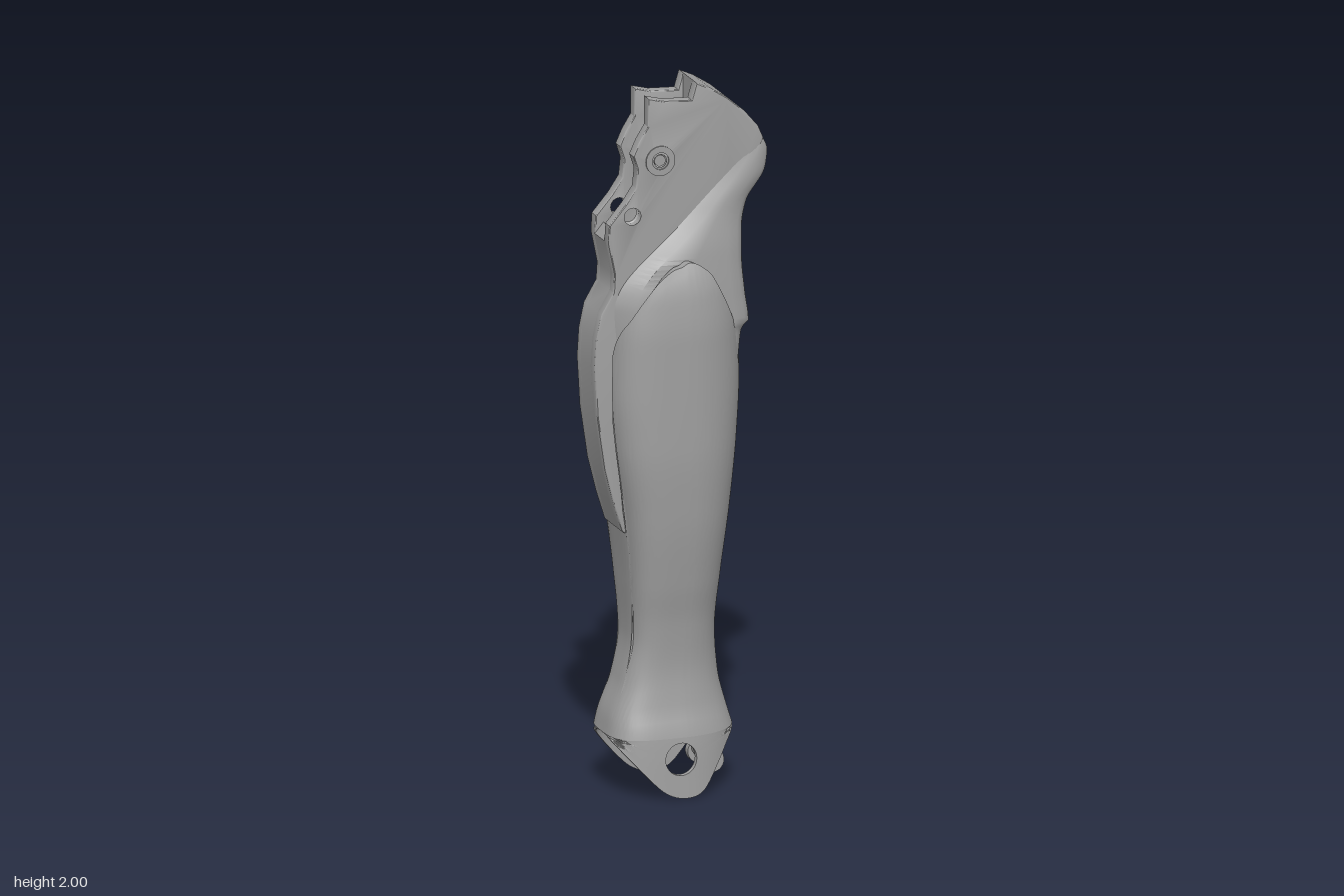
import * as THREE from 'three';
import { toCreasedNormals } from 'three/addons/utils/BufferGeometryUtils.js';

const grey = new THREE.MeshStandardMaterial({ color: 0xa0a0a0, side: THREE.DoubleSide });
grey.name = 'satin grey';
const TAU = Math.PI * 2;

// Monotone cubic through a table of [position, value] pairs
function table(pts) {
  const n = pts.length;
  const d = pts.slice(1).map((p, i) => (p[1] - pts[i][1]) / (p[0] - pts[i][0]));
  const m = pts.map((_, i) => {
    if (i === 0 || i === n - 1) return d[Math.min(i, n - 2)];
    const a = d[i - 1], b = d[i];
    return a * b <= 0 ? 0 : (2 * a * b) / (a + b);
  });
  return (x) => {
    if (x <= pts[0][0]) return pts[0][1];
    if (x >= pts[n - 1][0]) return pts[n - 1][1];
    let i = 0;
    while (x > pts[i + 1][0]) i++;
    const h = pts[i + 1][0] - pts[i][0], t = (x - pts[i][0]) / h, s = 1 - t;
    return pts[i][1] * s * s * (1 + 2 * t) + pts[i + 1][1] * t * t * (3 - 2 * t)
      + h * m[i] * t * s * s - h * m[i + 1] * t * t * s;
  };
}

// Grid surface from a rule (column, row) -> [x, y, z]
function grid(cols, rows, rule, crease = 0.6) {
  const pos = [], idx = [];
  for (let j = 0; j <= rows; j++) for (let i = 0; i <= cols; i++) pos.push(...rule(i, j));
  for (let j = 0; j < rows; j++) for (let i = 0; i < cols; i++) {
    const a = j * (cols + 1) + i, b = a + cols + 1;
    idx.push(a, b, a + 1, b, b + 1, a + 1);
  }
  const g = new THREE.BufferGeometry();
  g.setAttribute('position', new THREE.Float32BufferAttribute(pos, 3));
  g.setIndex(idx);
  return toCreasedNormals(g, crease);
}

// Outer shell measurements by height
const left = table([[0.17, -0.21], [0.22, -0.2], [0.32, -0.165], [0.45, -0.143], [0.6, -0.152],
  [0.78, -0.172], [1, -0.208], [1.15, -0.22], [1.3, -0.217], [1.5, -0.195]]);
const right = table([[0.17, 0.16], [0.22, 0.145], [0.32, 0.12], [0.45, 0.11], [0.6, 0.123],
  [0.8, 0.148], [1, 0.168], [1.15, 0.176], [1.3, 0.172], [1.5, 0.15]]);
const halfWidth = table([[0, 0.15], [0.17, 0.14], [0.25, 0.12], [0.36, 0.108], [0.48, 0.117],
  [0.6, 0.138], [0.8, 0.165], [1, 0.177], [1.3, 0.176], [1.42, 0.165], [1.48, 0.147], [1.52, 0.125]]);
const power = (u) => (u > 0 ? 2.2 : 3.5);

function shellPoint(angle, y, k = 1) {
  const c = Math.cos(angle), s = Math.sin(angle), e = 2 / power(c);
  const cx = (left(y) + right(y)) / 2, rx = (right(y) - left(y)) / 2;
  return [cx + k * rx * Math.sign(c) * Math.abs(c) ** e, y,
    k * halfWidth(y) * Math.sign(s) * Math.abs(s) ** e];
}
function shellDepth(x, y) {
  const cx = (left(y) + right(y)) / 2, rx = (right(y) - left(y)) / 2;
  const u = THREE.MathUtils.clamp((x - cx) / rx, -1, 1), n = power(u);
  return halfWidth(y) * (1 - Math.abs(u) ** n) ** (1 / n);
}

// Upper rim: low at the knee, high on the sides, open slot down the calf
const rim = table([[0, 1.19], [18, 1.2], [27, 1.26], [40, 1.34], [55, 1.425], [66, 1.48], [84, 1.51],
  [98, 1.48], [115, 1.43], [133, 1.37], [150, 1.32], [160, 1.26], [164, 0.86], [170, 0.78], [180, 0.75]]);

const toVectors = (points) => points.map(([x, y]) => new THREE.Vector2(x, y));
const circle = (x, y, r) => new THREE.Path().absarc(x, y, r, 0, TAU, true);
function plate(points, holes = []) {
  const s = new THREE.Shape(toVectors(points));
  s.holes.push(...holes);
  return s;
}
function ring(x, y, outer, inner) {
  const s = new THREE.Shape().absarc(x, y, outer, 0, TAU);
  s.holes.push(circle(x, y, inner));
  return s;
}
function slab(s, z0, z1, bevel = 0) {
  const g = new THREE.ExtrudeGeometry(s, { depth: z1 - z0 - 2 * bevel, bevelEnabled: bevel > 0,
    bevelSize: bevel, bevelOffset: -bevel, bevelThickness: bevel, bevelSegments: 3, curveSegments: 24 });
  g.translate(0, 0, z0 + bevel);
  return toCreasedNormals(g, 0.5);
}

export function createModel() {
  const model = new THREE.Group();
  const add = (name, geometry) => {
    const mesh = new THREE.Mesh(geometry, grey);
    mesh.name = name;
    model.add(mesh);
    return mesh;
  };

  // Shin shell, with its rim turned inward
  add('shinShell', grid(180, 61, (i, j) => {
    const a = (i / 180) * TAU, deg = Math.min(i, 180 - i) * 2;
    const y = 0.17 + (rim(deg) - 0.17) * Math.min(j / 60, 1);
    return shellPoint(a, y, j > 60 ? 0.82 : 1);
  }));
  add('ankleCeiling', grid(60, 1, (i, j) => shellPoint((i / 60) * TAU, 0.24, j ? 0 : 0.99)));

  // Ankle lobes: curved plates running from a pivot hole to the scalloped edge
  const scallop = new THREE.SplineCurve(toVectors([[-0.21, 0.17], [-0.195, 0.145], [-0.13, 0.07],
    [-0.075, 0.018], [-0.02, 0], [0.035, 0.015], [0.085, 0.085], [0.12, 0.135], [0.16, 0.17]])).getPoints(80);
  const edge = new THREE.Path([...scallop, scallop[0]]).getSpacedPoints(200);
  const hole = new THREE.Vector2(-0.03, 0.11);
  for (const side of [1, -1]) {
    add('ankleLobe', grid(edge.length - 1, 13, (i, j) => {
      const inner = j > 6 && j < 13;
      const s = j === 13 ? 0 : inner ? (12 - j) / 5 : j / 6;
      const p = edge[i], a = Math.atan2(p.y - hole.y, p.x - hole.x);
      const x = THREE.MathUtils.lerp(hole.x + 0.045 * Math.cos(a), p.x, s);
      const y = THREE.MathUtils.lerp(hole.y + 0.045 * Math.sin(a), p.y, s);
      return [x, y, side * Math.max(0, shellDepth(x, y) - (inner ? 0.016 : 0))];
    }));
    // Cable eyes inside the ankle
    for (const [x, y, z] of [[0.09, 0.072, 0.05], [0.055, 0.125, 0.09]]) {
      add('cableEye', slab(ring(x, y, 0.034, 0.017), side * z - 0.011, side * z + 0.011));
      const stem = add('cableEyeStem', new THREE.BoxGeometry(0.035, 0.22 - y, 0.022));
      stem.position.set(x - 0.012, (y + 0.28) / 2, side * z);
    }
  }

  // Knee blade: two cheek plates with pivot holes
  const calf = [[-0.13, 0.72], [-0.175, 0.75], [-0.2, 0.83], [-0.225, 0.93], [-0.247, 1.08], [-0.255, 1.22],
    [-0.25, 1.3], [-0.235, 1.37], [-0.2, 1.43], [-0.197, 1.48], [-0.215, 1.57]];
  const brow = [[0.04, 2], [0.08, 1.982], [0.13, 1.95], [0.18, 1.907], [0.22, 1.86], [0.235, 1.825]];
  const cheek = plate([...calf, [-0.212, 1.62], [-0.165, 1.675], [-0.135, 1.72], [-0.13, 1.77], [-0.143, 1.81],
    [-0.125, 1.85], [-0.1, 1.89], [-0.1, 1.97], [-0.05, 1.957], [0.026, 1.953], ...brow,
    [0.15, 1.65], [0.1, 1.2], [0.05, 0.72]], [circle(-0.065, 1.79, 0.024), circle(-0.145, 1.64, 0.03)]);
  for (const side of [1, -1]) {
    add('kneeCheek', slab(cheek, side > 0 ? 0.035 : -0.072, side > 0 ? 0.072 : -0.035, 0.006));
    // Pivot boss and bolt
    add('pivotBoss', slab(ring(-0.065, 1.79, 0.042, 0.024), side * 0.072 - 0.004, side * 0.072 + 0.004));
    const bolt = add('pivotBolt', new THREE.CylinderGeometry(0.016, 0.016, 0.03, 20));
    bolt.rotation.x = Math.PI / 2;
    bolt.position.set(-0.065, 1.79, side * 0.055);
  }
  const pin = add('pivotPin', new THREE.CylinderGeometry(0.035, 0.035, 0.05, 10));
  pin.rotation.x = Math.PI / 2;
  pin.position.set(-0.065, 1.79, 0);

  // Core joining the cheeks, leaving an open fork at the top
  add('kneeCore', slab(plate([...calf, [-0.19, 1.6], [-0.185, 1.5], [0, 1.5], [0.04, 1.6], ...brow,
    [0.15, 1.65], [0.1, 1.2], [0.05, 0.72]]), -0.05, 0.05));

  // Knee guard with a sloping upper edge and a recessed front panel
  const guardBack = table([[1.1, -0.16], [1.38, -0.2], [1.42, -0.19], [1.6, -0.015], [1.83, 0.215]]);
  const guardFront = table([[1.1, 0.13], [1.2, 0.155], [1.3, 0.168], [1.32, 0.188], [1.4, 0.178], [1.5, 0.17],
    [1.58, 0.172], [1.65, 0.187], [1.74, 0.245], [1.79, 0.252], [1.83, 0.235]]);
  const guardWidth = table([[1.1, 0.12], [1.4, 0.115], [1.52, 0.108], [1.64, 0.092], [1.75, 0.08], [1.83, 0.068]]);
  const dent = table([[1.3, 0], [1.33, 0.025], [1.5, 0.02], [1.66, 0.014], [1.74, 0]]);
  add('kneeGuard', grid(20, 61, (i, j) => {
    const y = 1.1 + 0.73 * Math.min(j / 60, 1), b = guardBack(y), f = guardFront(y), w = guardWidth(y);
    const span = f - b, q = dent(y), cut = Math.min(0.05, span * 0.3);
    const half = [[b, 0], [b, Math.min(0.07, w)], [b + cut, w * 0.96], [b + span * 0.5, w], [f - cut, w * 0.97],
      [f - cut * 0.4, w * 0.88], [f - cut * 0.1, w * 0.78], [f, w * 0.68], [f - q, w * 0.58], [f - q, w * 0.3], [f - q, 0]];
    const p = half[i <= 10 ? i : 20 - i];
    return j > 60 ? [(b + f) / 2, y, 0] : [p[0], y, (i <= 10 ? 1 : -1) * p[1]];
  }, 0.7));

  // Screw heads on the back face and front edge
  const screw = (x, y, z, dx, dz) => {
    const s = add('screw', new THREE.CylinderGeometry(0.012, 0.014, 0.008, 16));
    s.position.set(x, y, z);
    s.quaternion.setFromUnitVectors(new THREE.Vector3(0, 1, 0), new THREE.Vector3(dx, 0, dz).normalize());
  };
  for (const [x, y] of [[0.03, 0.93], [-0.1, 0.73], [-0.02, 0.23], [-0.1, 0.13]])
    screw(x, y, -shellDepth(x, y), 0, -1);
  for (const [x, y] of [[0.08, 1.9], [-0.04, 1.92], [-0.04, 1.66]]) screw(x, y, -0.072, 0, -1);
  screw(...shellPoint(-0.62, 0.8), 0.8, -0.5);
  return model;
}
